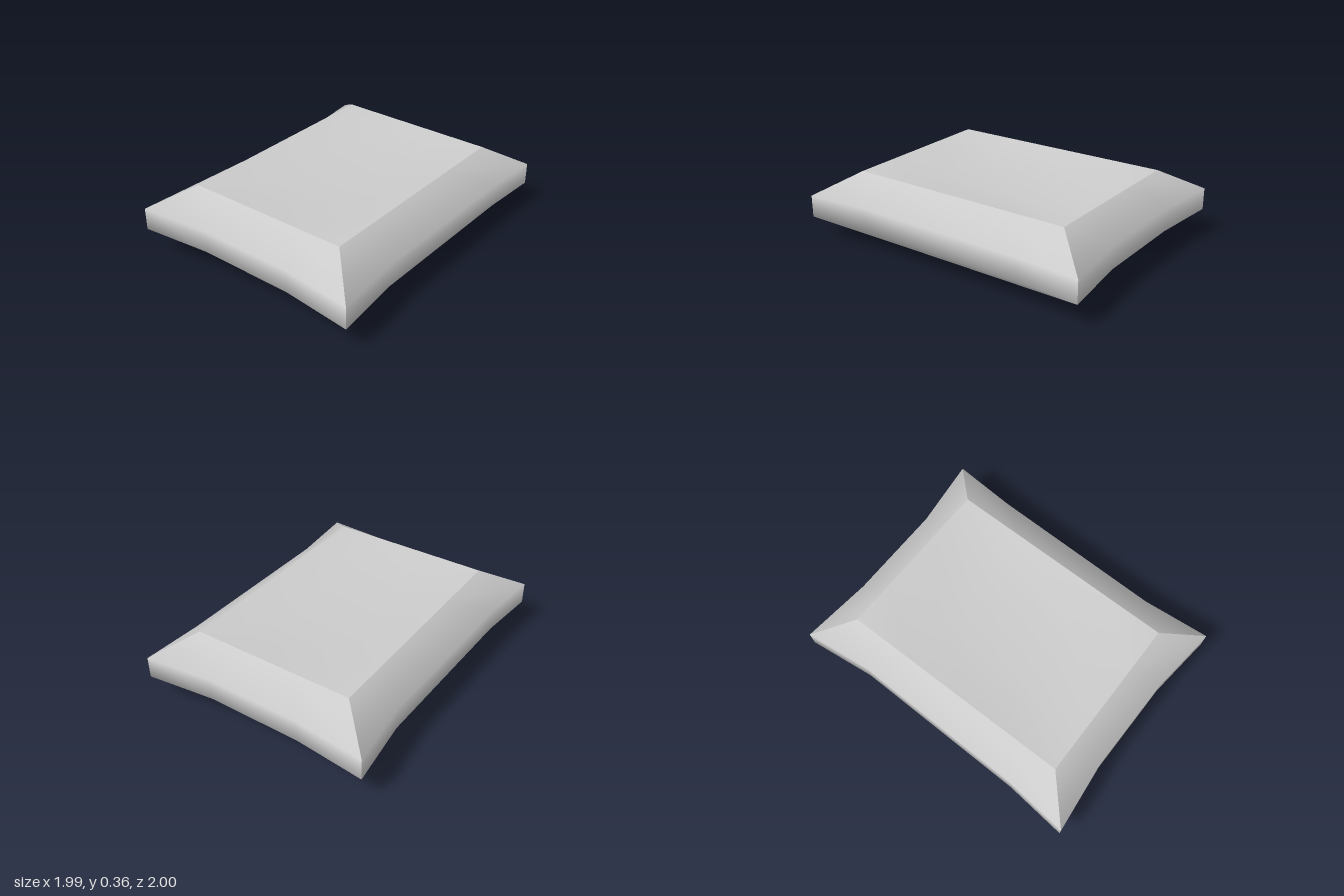
import * as THREE from 'three';

// Plan-view corners [x, z] of the flat panels, clockwise from above
const inner = [[0.11, -0.74], [0.73, -0.14], [-0.11, 0.73], [-0.73, 0.14]];
// Outer rim, each side starting at a pointed corner and bowing inward
const rim = [
  [[0.1, -1], [0.34, -0.72], [0.7, -0.37], [0.99, -0.15]],
  [[0.99, -0.15], [0.75, 0.07], [0.11, 0.72], [-0.11, 0.995]],
  [[-0.11, 0.995], [-0.34, 0.72], [-0.7, 0.37], [-0.995, 0.14]],
  [[-0.995, 0.14], [-0.75, -0.07], [-0.11, -0.72], [0.1, -1]],
];
const steps = [0, 0.27, 0.73, 1];
const panelHalf = 0.175, rimHalf = 0.057, dent = 0.035;

const lerp = (p, q, t) => [p[0] + (q[0] - p[0]) * t, p[1] + (q[1] - p[1]) * t];
// Height about the slightly tilted middle plane
const place = ([x, z], h) => [x, 0.181 + h - 0.01 * (x + z), z];

// Smooth surface through a grid of points (rows of equal length)
function gridMesh(name, rows, material) {
  const n = rows[0].length, index = [];
  for (let r = 0; r < rows.length - 1; r++) {
    for (let c = 0; c < n - 1; c++) {
      const a = r * n + c;
      index.push(a, a + 1, a + n, a + 1, a + n + 1, a + n);
    }
  }
  const geometry = new THREE.BufferGeometry();
  geometry.setAttribute('position', new THREE.Float32BufferAttribute(rows.flat(2), 3));
  geometry.setIndex(index);
  geometry.computeVertexNormals();
  const mesh = new THREE.Mesh(geometry, material);
  mesh.name = name;
  return mesh;
}

// Panel with a shallow hollow in the middle
function panel(name, sign, material) {
  const [a, b, c, d] = inner;
  const [p, q] = sign > 0 ? [d, b] : [b, d];
  const rows = steps.map((v) => steps.map((u) => {
    const middle = u > 0 && u < 1 && v > 0 && v < 1;
    return place(lerp(lerp(a, p, u), lerp(q, c, u), v), sign * (panelHalf - (middle ? dent : 0)));
  }));
  return gridMesh(name, rows, material);
}

export function createModel() {
  const material = new THREE.MeshStandardMaterial({ color: 0xcccccc });
  const cushion = new THREE.Group();
  cushion.name = 'cushion';
  cushion.add(panel('topPanel', 1, material), panel('bottomPanel', -1, material));

  // Four rounded sides, from top panel over the rim to bottom panel
  const names = ['backRightSide', 'frontRightSide', 'frontLeftSide', 'backLeftSide'];
  const modelNames = names.map((s) => (s.includes('Right') ? s.replace('Right', 'Left') : s.replace('Left', 'Right')));
  rim.forEach((outer, i) => {
    const edge = steps.map((t) => lerp(inner[i], inner[(i + 1) % 4], t));
    const rows = [
      edge.map((p) => place(p, panelHalf)),
      outer.map((p) => place(p, rimHalf)),
      outer.map((p) => place(p, -rimHalf)),
      edge.map((p) => place(p, -panelHalf)),
    ];
    cushion.add(gridMesh(modelNames[i], rows, material));
  });
  return cushion;
}
